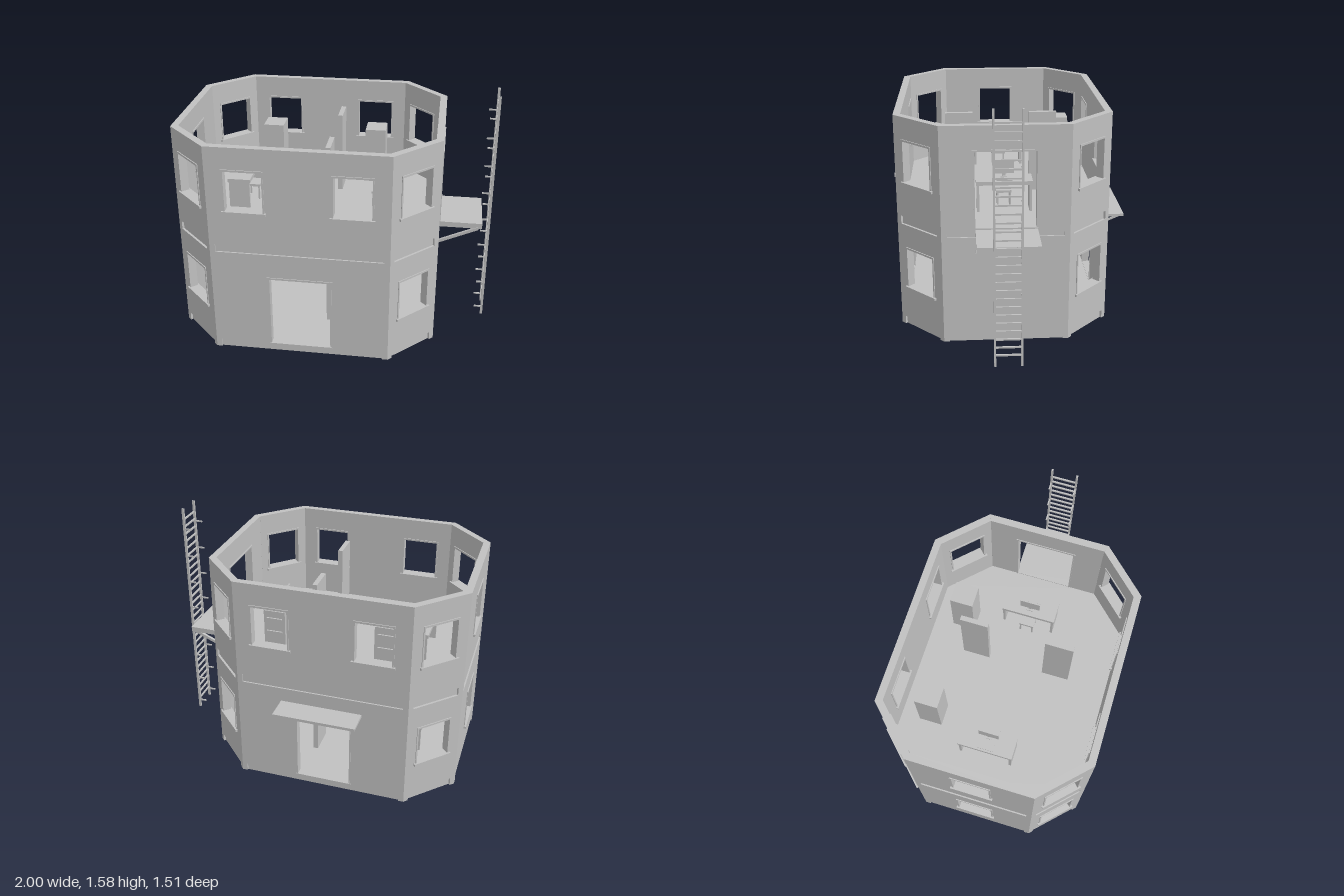
import * as THREE from 'three';

const grey = new THREE.MeshStandardMaterial({ color: 0xc0c0c0 });
grey.name = 'plainGrey';

const T = 0.045;                 // wall thickness
const SLAB = 0.055;              // floor slab thickness
const STOREYS = [{ y: 0, top: 0.705 }, { y: 0.705, top: 1.4 }];
const CORNERS = [                // outer corners, starting at the front wall
  [-0.705, 0.735], [0.4, 0.735], [0.675, 0.457], [0.675, -0.322],
  [0.4, -0.6], [-0.705, -0.6], [-0.983, -0.322], [-0.983, 0.457],
];

function mesh(parent, name, geometry, x = 0, y = 0, z = 0) {
  const m = new THREE.Mesh(geometry, grey);
  m.name = name;
  m.position.set(x, y, z);
  parent.add(m);
  return m;
}

// Box given by its limits on each axis
function box(parent, name, x0, x1, y0, y1, z0, z1) {
  return mesh(parent, name, new THREE.BoxGeometry(x1 - x0, y1 - y0, z1 - z0),
    (x0 + x1) / 2, (y0 + y1) / 2, (z0 + z1) / 2);
}

// Square bar between two points
function bar(parent, name, a, b, w, h = w) {
  const p = new THREE.Vector3(...a), q = new THREE.Vector3(...b);
  const m = mesh(parent, name, new THREE.BoxGeometry(w, h, p.distanceTo(q)));
  m.position.copy(p).lerp(q, 0.5);
  m.lookAt(q);
  return m;
}

function group(parent, name) {
  const g = new THREE.Group();
  g.name = name;
  parent.add(g);
  return g;
}

// Octagonal floor slab, set back slightly from the wall faces
function addSlab(parent, y) {
  const cx = -0.154, cz = 0.0675;
  const pts = CORNERS.map(([x, z]) => new THREE.Vector2(
    x - 0.01 * Math.sign(x - cx), -(z - 0.01 * Math.sign(z - cz))));
  const geo = new THREE.ExtrudeGeometry(new THREE.Shape(pts), { depth: SLAB, bevelEnabled: false });
  geo.rotateX(-Math.PI / 2);
  mesh(parent, 'floorSlab', geo, 0, y, 0);
}

// One mitred wall panel; local +z points outward, windows and door lie along x
function addWall(parent, index, storey, windows, door) {
  const a = CORNERS[index], b = CORNERS[(index + 1) % 8];
  const dx = b[0] - a[0], dz = b[1] - a[1], len = Math.hypot(dx, dz);
  const g = group(parent, 'wall');
  g.position.set(a[0], storey.y, a[1]);
  g.rotation.y = Math.atan2(-dz, dx);

  const h = storey.top - storey.y;
  const shape = new THREE.Shape();
  shape.moveTo(0, SLAB);
  if (door) {
    shape.lineTo(door.x0, SLAB);
    shape.lineTo(door.x0, door.h);
    shape.lineTo(door.x1, door.h);
    shape.lineTo(door.x1, SLAB);
  }
  shape.lineTo(len, SLAB);
  shape.lineTo(len, h);
  shape.lineTo(0, h);
  const W = 0.118, lo = 0.283, hi = 0.547;
  for (const x of windows) {
    const hole = new THREE.Path();
    hole.moveTo(x - W, lo);
    hole.lineTo(x - W, hi);
    hole.lineTo(x + W, hi);
    hole.lineTo(x + W, lo);
    hole.closePath();
    shape.holes.push(hole);
  }
  const geo = new THREE.ExtrudeGeometry(shape, { depth: T, bevelEnabled: false });
  geo.translate(0, 0, -T);
  const p = geo.attributes.position, k = Math.tan(Math.PI / 8);
  for (let i = 0; i < p.count; i++) {
    const shift = -p.getZ(i) * k;
    if (p.getX(i) < 1e-4) p.setX(i, shift);
    else if (p.getX(i) > len - 1e-4) p.setX(i, len - shift);
  }
  mesh(g, 'wallPanel', geo);

  // Blocks that carry the wall down past the slab at each corner
  box(g, 'cornerBlock', 0, 0.034, 0, SLAB, -T, 0);
  box(g, 'cornerBlock', len - 0.034, len, 0, SLAB, -T, 0);

  // Window frames and sills
  for (const x of windows) {
    const f = 0.008;
    box(g, 'windowSill', x - 0.135, x + 0.135, lo - 0.014, lo + 0.002, -T - 0.015, 0.015);
    box(g, 'windowHead', x - W - f, x + W + f, hi - 0.003, hi + 0.009, -T - 0.006, 0.006);
    for (const s of [-1, 1]) {
      const e = x + s * (W + 0.002);
      box(g, 'windowJamb', e - 0.005, e + 0.005, lo, hi, -T - 0.005, 0.005);
    }
  }
  // Door frame
  if (door) {
    box(g, 'doorHead', door.x0 - 0.012, door.x1 + 0.012, door.h - 0.003, door.h + 0.009, -T - 0.005, 0.005);
    box(g, 'doorStep', door.x0 - 0.008, door.x1 + 0.008, SLAB - 0.004, SLAB + 0.005, -T, 0.006);
    for (const e of [door.x0, door.x1])
      box(g, 'doorJamb', e - 0.004, e + 0.004, SLAB, door.h, -T - 0.004, 0.004);
  }
}

// Desk with monitor, keyboard and stool; side = 1 for the right room, -1 for the left
function addDesk(parent, side) {
  const g = group(parent, 'desk');
  g.position.set(side > 0 ? 0.33 : -0.637, 0, 0.0625);
  if (side < 0) g.rotation.y = Math.PI;
  box(g, 'deskTop', -0.075, 0.075, 0.178, 0.202, -0.178, 0.178);
  for (const s of [-1, 1]) {
    box(g, 'deskSide', -0.068, 0.068, 0, 0.178, s * 0.166 - 0.008, s * 0.166 + 0.008);
  }
  box(g, 'monitorFoot', -0.04, -0.01, 0.202, 0.208, -0.02, 0.02);
  box(g, 'monitorStem', -0.028, -0.022, 0.205, 0.24, -0.01, 0.01);
  box(g, 'monitorScreen', -0.03, -0.02, 0.225, 0.305, -0.066, 0.066);
  box(g, 'keyboard', 0.022, 0.062, 0.202, 0.208, -0.05, 0.05);
  box(g, 'stoolSeat', -0.11, -0.015, 0.096, 0.112, -0.05, 0.05);
  for (const x of [-0.1, -0.025]) for (const z of [-0.04, 0.04])
    box(g, 'stoolLeg', x - 0.005, x + 0.005, 0, 0.096, z - 0.005, z + 0.005);
}

// Drawer cabinet with handles facing the back
function addCabinet(parent, x) {
  const g = group(parent, 'cabinet');
  box(g, 'cabinetBody', x - 0.069, x + 0.069, 0, 0.385, -0.43, -0.28);
  for (let i = 0; i < 4; i++)
    box(g, 'drawerHandle', x - 0.05, x + 0.05, 0.06 + i * 0.09, 0.07 + i * 0.09, -0.44, -0.43);
}

export function createModel() {
  const model = new THREE.Group();
  model.name = 'twoStoreyBuilding';

  STOREYS.forEach((storey, level) => {
    const g = group(model, level ? 'upperStorey' : 'lowerStorey');
    addSlab(g, storey.y);
    for (let i = 0; i < 8; i++) {
      const a = CORNERS[i], b = CORNERS[(i + 1) % 8];
      const mid = Math.hypot(b[0] - a[0], b[1] - a[1]) / 2;
      let windows = [mid], door = null;
      if (i === 0 || i === 4) {
        windows = level ? [mid - 0.325, mid + 0.325] : [];
        if (!level) door = { x0: i ? 0.39 : 0.36, x1: 0.745, h: 0.537 };
      } else if (i === 2) {
        windows = [];
        if (level) door = { x0: 0.202, x1: 0.577, h: 0.54 };
      }
      addWall(g, i, storey, windows, door);
    }
    // Partitions and furniture stand on the slab
    const room = group(g, 'interior');
    room.position.y = storey.y + SLAB;
    box(room, 'partition', -0.034, -0.003, 0, 0.54, -0.3, -0.12);
    box(room, 'partition', -0.034, -0.003, 0, 0.54, 0.25, 0.43);
    for (const s of [-1, 1]) addDesk(room, s);
    for (const x of [-0.508, 0.203]) addCabinet(room, x);
  });

  // Balcony on the left side with diagonal struts
  const balcony = group(model, 'balcony');
  box(balcony, 'balconyPlatform', 0.67, 0.945, 0.72, 0.755, -0.125, 0.25);
  for (const z of [-0.108, 0.247])
    bar(balcony, 'balconyStrut', [0.672, 0.612, z], [0.92, 0.722, z], 0.018);

  // Canopy over the back door
  const canopy = group(model, 'canopy');
  box(canopy, 'canopyRoof', -0.415, 0.11, 0.595, 0.613, -0.758, -0.595);
  for (const x of [-0.385, 0.08])
    bar(canopy, 'canopyStrut', [x, 0.535, -0.598], [x, 0.595, -0.735], 0.012);

  // Ladder with rungs and wall brackets
  const ladder = group(model, 'ladder');
  for (const z of [-0.01, 0.15]) {
    box(ladder, 'ladderRail', 0.984, 1.0, 0.01, 1.577, z - 0.006, z + 0.006);
    for (let i = 0; i < 8; i++)
      bar(ladder, 'ladderBracket', [0.94, 0.068 + i * 0.195, z], [0.99, 0.068 + i * 0.195, z], 0.009);
  }
  for (let i = 0; i < 28; i++)
    bar(ladder, 'ladderRung', [0.992, 0.083 + i * 0.0525, -0.01], [0.992, 0.083 + i * 0.0525, 0.15], 0.01);

  return model;
}
